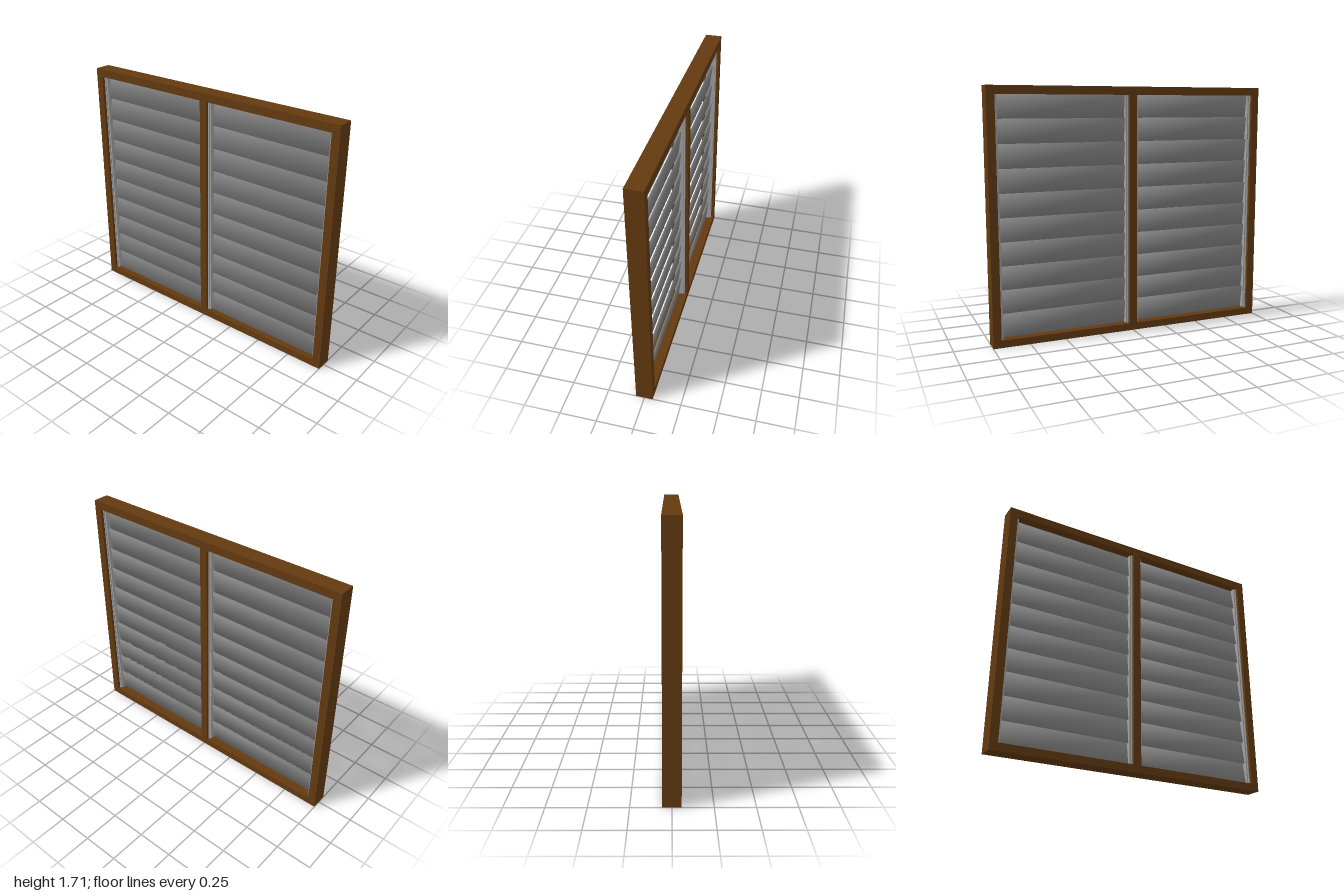
import * as THREE from 'three';

const W = 2, H = 1.71, D = 0.115;        // outer frame
const EDGE = 0.055, MULLION = 0.055;     // frame bar widths
const SLATS = 10;

const wood = new THREE.MeshStandardMaterial({ color: 0x643a10 });
wood.name = 'brown wood';
const slatGrey = new THREE.MeshStandardMaterial({ color: 0x868686 });
slatGrey.name = 'slat grey';
const railGrey = new THREE.MeshStandardMaterial({ color: 0xa2a2a2 });
railGrey.name = 'rail grey';

function box(name, w, h, d, material, x, y, z = 0) {
  const mesh = new THREE.Mesh(new THREE.BoxGeometry(w, h, d), material);
  mesh.name = name;
  mesh.position.set(x, y, z);
  return mesh;
}

// Box whose corner normals point outward, so its shading rolls softly
function softBox(w, h, d) {
  const g = new THREE.BoxGeometry(w, h, d);
  const p = g.attributes.position, n = g.attributes.normal, v = new THREE.Vector3();
  for (let i = 0; i < p.count; i++) {
    v.set(Math.sign(p.getX(i)), Math.sign(p.getY(i)), Math.sign(p.getZ(i))).normalize();
    n.setXYZ(i, v.x, v.y, v.z);
  }
  return g;
}

// Rectangular outline from corner to corner
function rect(path, x0, y0, x1, y1) {
  path.moveTo(x0, y0);
  path.lineTo(x1, y0);
  path.lineTo(x1, y1);
  path.lineTo(x0, y1);
  path.closePath();
  return path;
}

export function createModel() {
  const model = new THREE.Group();
  model.name = 'louvredWindow';

  // Frame with two openings
  const inner = MULLION / 2, outer = W / 2 - EDGE;
  const bottom = 0.05, top = H - EDGE;
  const shape = rect(new THREE.Shape(), -W / 2, 0, W / 2, H);
  shape.holes.push(rect(new THREE.Path(), -outer, bottom, -inner, top));
  shape.holes.push(rect(new THREE.Path(), inner, bottom, outer, top));
  const frameGeo = new THREE.ExtrudeGeometry(shape, { depth: D, bevelEnabled: false });
  frameGeo.translate(0, 0, -D / 2);
  const frame = new THREE.Mesh(frameGeo, wood);
  frame.name = 'frame';
  model.add(frame);

  const openH = top - bottom, midY = (top + bottom) / 2;
  const midX = (inner + outer) / 2, openW = outer - inner;
  const pitch = openH / SLATS;
  const slatGeo = softBox(openW - 0.024, pitch + 0.01, 0.01);

  for (const side of [-1, 1]) {
    const panel = new THREE.Group();
    panel.name = side < 0 ? 'rightPanel' : 'leftPanel';
    panel.position.x = side * midX;

    // Stepped metal rails on both sides of the opening
    for (const s of [-1, 1]) {
      panel.add(box('rail', 0.018, openH, 0.06, railGrey, s * (openW / 2 - 0.009), midY));
      panel.add(box('railLip', 0.008, openH, 0.076, railGrey, s * (openW / 2 - 0.004), midY));
    }

    // Overlapping slats, lower edge leaning to the front
    for (let i = 0; i < SLATS; i++) {
      const slat = new THREE.Mesh(slatGeo, slatGrey);
      slat.name = 'slat';
      slat.position.y = bottom + (i + 0.5) * pitch;
      slat.rotation.x = -0.12;
      panel.add(slat);
    }
    model.add(panel);
  }
  return model;
}
